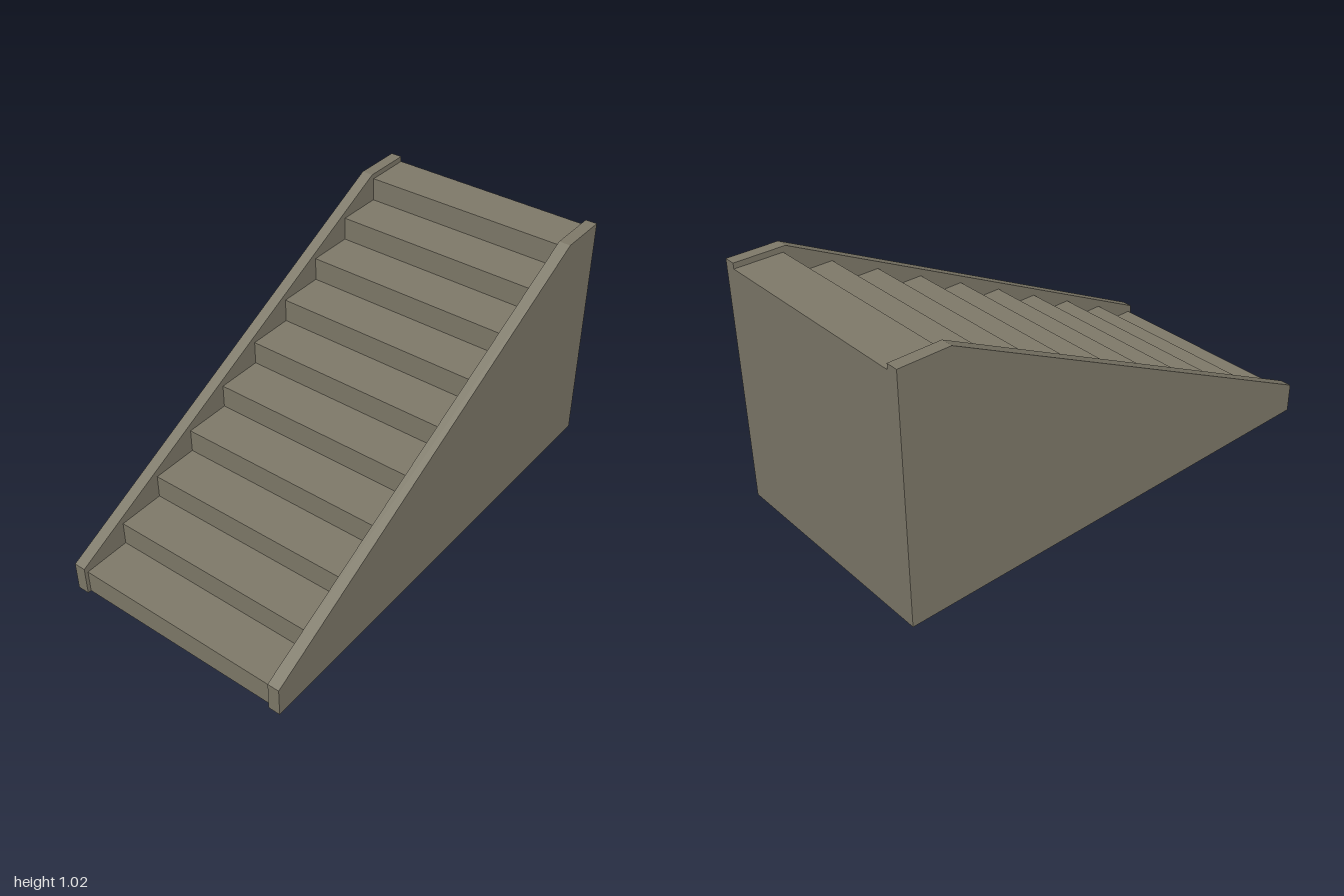
import * as THREE from 'three';

const STEPS = 10, TOP = 0.995, FRONT = 0.985, BACK = -1;
const OUTER = 0.496, INNER = 0.447;

export function createModel() {
  const model = new THREE.Group();
  model.name = 'staircase';
  const stone = new THREE.MeshStandardMaterial({ color: 0x7f7a6a, side: THREE.DoubleSide });
  stone.name = 'greyBrownStone';

  const add = (name, geometry, x, y, z) => {
    const mesh = new THREE.Mesh(geometry, stone);
    mesh.name = name;
    mesh.position.set(x, y, z);
    model.add(mesh);
    return mesh;
  };

  // Thin treads and risers, open underneath
  const rise = TOP / STEPS, run = (FRONT - BACK) / STEPS;
  for (let i = 0; i < STEPS; i++) {
    const z = FRONT - i * run;
    add('riser' + (i + 1), new THREE.PlaneGeometry(2 * INNER, rise), 0, (i + 0.5) * rise, z);
    add('tread' + (i + 1), new THREE.PlaneGeometry(2 * INNER, run).rotateX(-Math.PI / 2),
      0, (i + 1) * rise, z - run / 2);
  }

  // Back panel
  add('backPanel', new THREE.PlaneGeometry(2 * INNER, TOP).rotateY(Math.PI), 0, TOP / 2, BACK);

  // Sloping side walls: profile in (-z, y), extruded across x
  const profile = new THREE.Shape([
    [-1, 0], [1, 0], [1, 1.018], [0.79, 1.018], [-1, 0.124],
  ].map(([u, v]) => new THREE.Vector2(u, v)));
  const wall = new THREE.ExtrudeGeometry(profile, { depth: OUTER - INNER, bevelEnabled: false })
    .rotateY(Math.PI / 2);
  add('leftWall', wall, INNER, 0, 0);
  add('rightWall', wall, -OUTER, 0, 0);

  return model;
}
